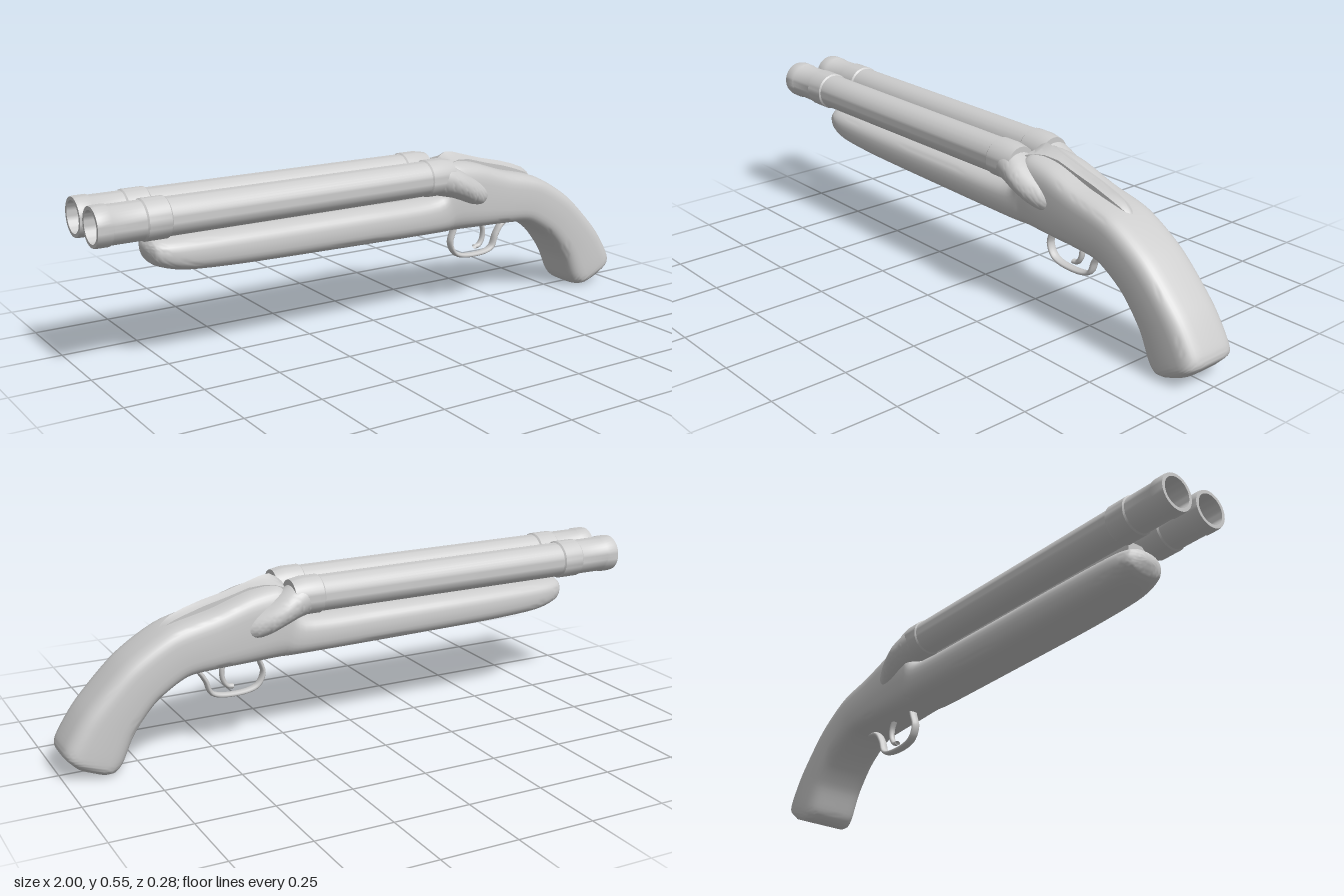
import * as THREE from 'three';
import { toCreasedNormals } from 'three/addons/utils/BufferGeometryUtils.js';

const V = (x, y, z = 0) => new THREE.Vector3(x, y, z);

// Skin a list of equal-length closed rings (each running from +z to +y) and cap both ends
function loft(rings, crease = 0.8) {
  const n = rings[0].length, m = rings.length, pos = [], idx = [];
  rings.flat().forEach(p => pos.push(p.x, p.y, p.z));
  for (let i = 0; i < m - 1; i++) {
    for (let j = 0; j < n; j++) {
      const a = i * n + j, b = i * n + (j + 1) % n;
      idx.push(a, a + n, b, b, a + n, b + n);
    }
  }
  [0, m - 1].forEach((r, k) => {
    const c = rings[r].reduce((s, p) => s.add(p), V(0, 0)).divideScalar(n);
    pos.push(c.x, c.y, c.z);
    for (let j = 0; j < n; j++) {
      const a = r * n + j, b = r * n + (j + 1) % n;
      idx.push(n * m + k, k ? b : a, k ? a : b);
    }
  });
  const g = new THREE.BufferGeometry();
  g.setAttribute('position', new THREE.Float32BufferAttribute(pos, 3));
  g.setIndex(idx);
  return toCreasedNormals(g, crease);
}

// Superellipse ring between a top and a bottom point, half width w, centred on z = cz
function ovalRing(top, bottom, w, e, cz = 0, n = 40) {
  const c = top.clone().add(bottom).multiplyScalar(0.5), up = top.clone().sub(c);
  const f = v => Math.sign(v) * Math.abs(v) ** (2 / e);
  return Array.from({ length: n }, (_, j) => {
    const a = j / n * Math.PI * 2;
    return c.clone().addScaledVector(up, f(Math.sin(a))).add(V(0, 0, cz + w * f(Math.cos(a))));
  });
}

// Smooth oval loft through rows of [topX, topY, bottomX, bottomY, halfWidth, exponent, centreZ]
function ovalLoft(rows, steps) {
  const spline = pick => new THREE.CatmullRomCurve3(rows.map(pick), false, 'catmullrom', 0.4);
  const top = spline(r => V(r[0], r[1], r[4]));
  const bottom = spline(r => V(r[2], r[3], r[5]));
  const side = spline(r => V(r[6] || 0, 0));
  const rings = [];
  for (let i = 0; i <= steps; i++) {
    const t = top.getPoint(i / steps), b = bottom.getPoint(i / steps);
    rings.push(ovalRing(V(t.x, t.y), V(b.x, b.y), t.z, b.z, side.getPoint(i / steps).x));
  }
  return loft(rings);
}

export function createModel() {
  const model = new THREE.Group();
  model.name = 'doubleBarrelGun';
  const mat = new THREE.MeshStandardMaterial({ color: 0xcccccc, side: THREE.DoubleSide });
  const add = (name, geo, parent = model) => {
    const mesh = new THREE.Mesh(geo, mat);
    mesh.name = name;
    parent.add(mesh);
    return mesh;
  };

  // Fore-end, receiver and curved grip in one flowing body
  add('stock', ovalLoft([
    [-0.815, 0.40, -0.815, 0.365, 0.03, 2.3],
    [-0.80, 0.415, -0.79, 0.332, 0.07, 2.5],
    [-0.74, 0.42, -0.70, 0.308, 0.088, 2.7],
    [-0.5, 0.42, -0.5, 0.298, 0.095, 2.8],
    [-0.1, 0.42, -0.1, 0.291, 0.097, 2.8],
    [0.2, 0.425, 0.22, 0.288, 0.099, 2.9],
    [0.25, 0.50, 0.28, 0.288, 0.099, 3.2],
    [0.28, 0.53, 0.33, 0.288, 0.1, 3.6],
    [0.38, 0.515, 0.41, 0.287, 0.1, 4],
    [0.5, 0.475, 0.5, 0.285, 0.1, 4],
    [0.65, 0.435, 0.60, 0.275, 0.1, 4],
    [0.79, 0.35, 0.70, 0.212, 0.1, 4],
    [0.92, 0.22, 0.77, 0.125, 0.1, 4],
    [0.985, 0.125, 0.81, 0.04, 0.1, 4],
    [0.995, 0.085, 0.835, 0.012, 0.097, 4],
    [0.965, 0.048, 0.86, 0.006, 0.08, 4],
  ], 90));

  // Barrels: hollow lathe profile with muzzle bands and a breech ring
  const profile = [
    [0, -0.6], [0.05, -0.6], [0.05, -1], [0.061, -1], [0.063, -0.99], [0.063, -0.955], [0.06, -0.95],
    [0.06, -0.85], [0.064, -0.845], [0.064, -0.775], [0.059, -0.77], [0.058, 0.15],
    [0.062, 0.155], [0.062, 0.21], [0.055, 0.25], [0, 0.25],
  ].map(([r, x]) => new THREE.Vector2(r, x));
  const barrelGeo = toCreasedNormals(new THREE.LatheGeometry(profile, 40), 0.6);
  barrelGeo.rotateZ(-Math.PI / 2);
  for (const s of [1, -1]) {
    const side = new THREE.Group();
    side.name = s > 0 ? 'frontBarrelAssembly' : 'rearBarrelAssembly';
    model.add(side);
    add('barrel', barrelGeo, side).position.set(0, 0.491, s * 0.07);
    // Breech fairing that sweeps down into the receiver wall
    add('breechFairing', ovalLoft([
      [0.19, 0.549, 0.19, 0.431, 0.059, 2, s * 0.07],
      [0.23, 0.538, 0.23, 0.422, 0.064, 2, s * 0.072],
      [0.28, 0.512, 0.28, 0.405, 0.065, 2, s * 0.077],
      [0.33, 0.483, 0.33, 0.383, 0.06, 2, s * 0.073],
      [0.38, 0.456, 0.38, 0.369, 0.05, 2, s * 0.062],
      [0.42, 0.425, 0.42, 0.385, 0.03, 2, s * 0.055],
    ], 30), side);
  }

  // Joining strip between the barrels and the fore-end
  const strip = new THREE.BoxGeometry(1.0, 0.06, 0.07);
  add('barrelStrip', strip).position.set(-0.27, 0.425, 0);

  // Ridged spine on top of the receiver: [x, base, shoulder, peak, half width]
  const spine = [
    [0.245, 0.47, 0.50, 0.525, 0.068], [0.265, 0.48, 0.523, 0.543, 0.066],
    [0.29, 0.48, 0.529, 0.556, 0.05], [0.32, 0.47, 0.53, 0.552, 0.035],
    [0.37, 0.46, 0.525, 0.537, 0.027], [0.44, 0.44, 0.505, 0.517, 0.025],
    [0.52, 0.42, 0.485, 0.499, 0.024], [0.58, 0.40, 0.466, 0.481, 0.023],
    [0.625, 0.39, 0.449, 0.463, 0.02], [0.65, 0.38, 0.433, 0.444, 0.013],
    [0.672, 0.37, 0.408, 0.413, 0.003],
  ];
  add('topSpine', loft(spine.map(([x, base, sh, peak, w]) => {
    const half = [[w, base], [w, sh], [w * 0.4, sh + (peak - sh) * 0.45]];
    const mirror = half.map(([z, y]) => [-z, y]).reverse();
    return [...half, [0, peak], ...mirror].map(([z, y]) => V(x, y, z));
  }), 0.6));

  // Trigger guard and trigger: bent rods flattened into bands
  const band = (name, pts, radius, widen) => {
    const path = new THREE.CatmullRomCurve3(pts.map(([x, y]) => V(x, y)));
    const geo = new THREE.TubeGeometry(path, 50, radius, 10);
    geo.scale(1, 1, widen);
    add(name, geo);
  };
  band('triggerGuard', [
    [0.34, 0.31], [0.33, 0.275], [0.317, 0.23], [0.34, 0.188], [0.42, 0.173],
    [0.495, 0.188], [0.516, 0.235], [0.545, 0.272], [0.61, 0.285],
  ], 0.008, 2);
  band('trigger', [[0.44, 0.3], [0.458, 0.26], [0.455, 0.225], [0.44, 0.204], [0.422, 0.2]], 0.008, 1.4);

  return model;
}
